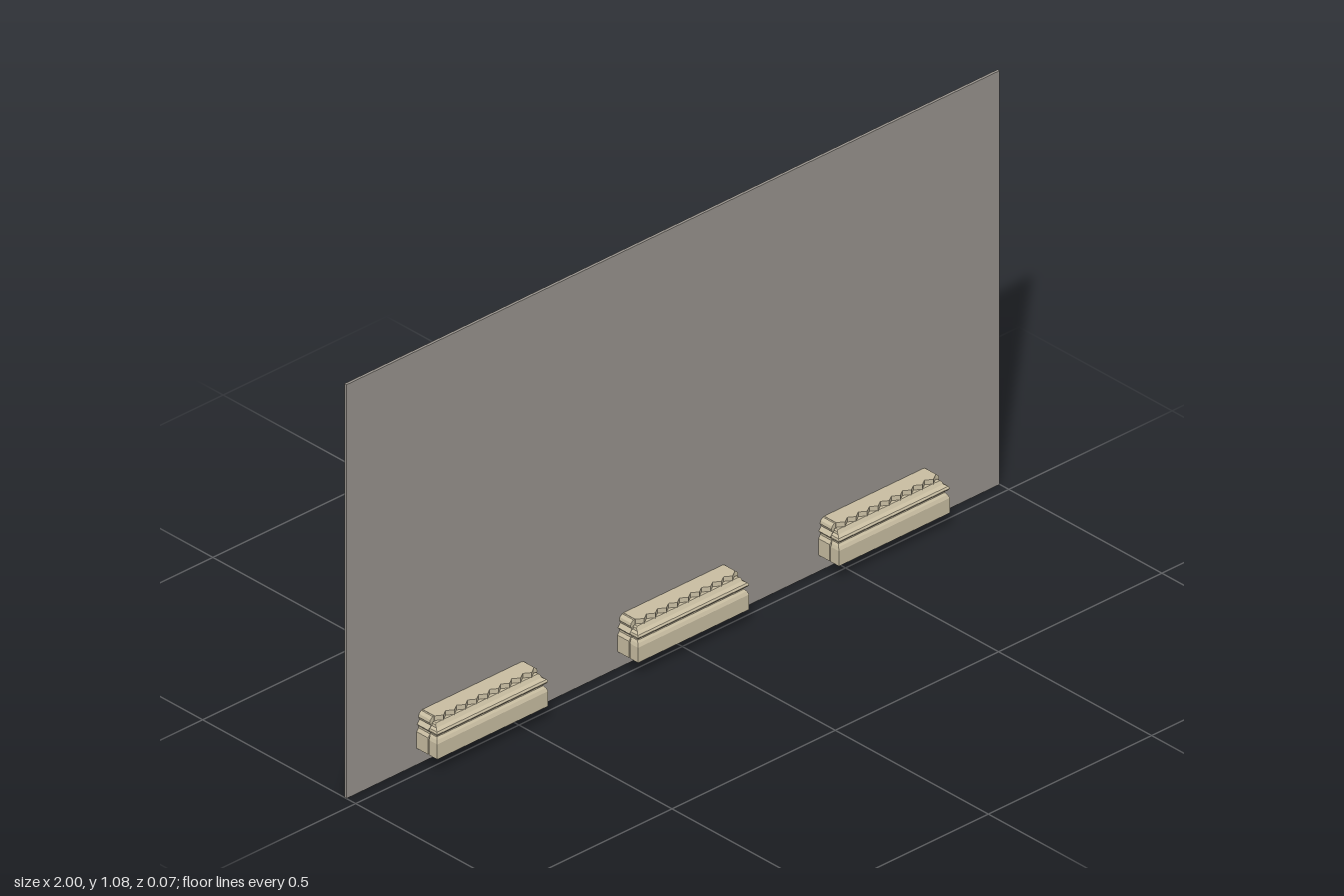
import * as THREE from 'three';

const wallMat = new THREE.MeshStandardMaterial({ color: 0x98938d });
wallMat.name = 'grey wall';
const stoneMat = new THREE.MeshStandardMaterial({ color: 0xc9bea2 });
stoneMat.name = 'pale stone';

// Stacks rectangles [half width, y, front z] with a shared back plane into a closed moulded block
function loft(levels, back) {
  const pos = [];
  const ring = ([w, y, z]) => [[-w, y, z], [w, y, z], [w, y, back], [-w, y, back]];
  const quad = (a, b, c, d) => pos.push(...a, ...b, ...c, ...a, ...c, ...d);
  const rings = levels.map(ring);
  for (let i = 0; i < rings.length - 1; i++) {
    const lo = rings[i], hi = rings[i + 1];
    for (let k = 0; k < 4; k++) {
      const n = (k + 1) % 4;
      quad(lo[k], lo[n], hi[n], hi[k]);
    }
  }
  const bottom = rings[0], top = rings[rings.length - 1];
  quad(bottom[3], bottom[2], bottom[1], bottom[0]);
  quad(top[0], top[1], top[2], top[3]);
  const g = new THREE.BufferGeometry();
  g.setAttribute('position', new THREE.Float32BufferAttribute(pos, 3));
  g.computeVertexNormals();
  return g;
}

// Top slab whose front edge is cut into triangular flutes
function flutedSlab(halfWidth, back, valley, peak, height, teeth) {
  const s = new THREE.Shape();
  s.moveTo(-halfWidth, -back);
  s.lineTo(-halfWidth, -valley);
  const step = (2 * halfWidth) / teeth;
  for (let i = 0; i < teeth; i++) {
    s.lineTo(-halfWidth + (i + 0.5) * step, -peak);
    s.lineTo(-halfWidth + (i + 1) * step, -valley);
  }
  s.lineTo(halfWidth, -back);
  const g = new THREE.ExtrudeGeometry(s, { depth: height, bevelEnabled: false });
  g.rotateX(-Math.PI / 2);
  return g;
}

function add(group, name, geometry, material) {
  const m = new THREE.Mesh(geometry, material);
  m.name = name;
  group.add(m);
  return m;
}

function makeBase() {
  const base = new THREE.Group();
  base.name = 'pilasterBase';
  const back = -0.03;

  // Front moulding: plinth, cove, rounded torus and neck
  add(base, 'frontMoulding', loft([
    [0.17, 0.043, 0.037], [0.17, 0.082, 0.037], [0.167, 0.09, 0.033],
    [0.163, 0.095, 0.028], [0.163, 0.099, 0.028], [0.168, 0.102, 0.034],
    [0.17, 0.107, 0.037], [0.168, 0.112, 0.034], [0.161, 0.116, 0.025],
    [0.16, 0.122, 0.021], [0.156, 0.125, 0.019],
  ], 0.01), stoneMat);

  // Rear return against the wall, split from the front by a narrow groove
  add(base, 'rearReturn', loft([
    [0.17, 0.043, 0.007], [0.17, 0.086, 0.007], [0.164, 0.094, 0.007],
    [0.164, 0.099, 0.007], [0.169, 0.105, 0.007], [0.161, 0.115, 0.007],
    [0.165, 0.123, 0.007], [0.163, 0.13, 0.007], [0.156, 0.136, 0.007],
  ], back), stoneMat);

  // Recessed core behind the groove
  add(base, 'core', loft([
    [0.165, 0.0435, 0.012], [0.165, 0.09, 0.012], [0.156, 0.098, 0.012], [0.152, 0.122, 0.012],
  ], back), stoneMat);

  // Fluted shaft stub
  add(base, 'flutedTop', flutedSlab(0.152, back, 0.009, 0.02, 0.017, 9), stoneMat).position.y = 0.12;
  return base;
}

export function createModel() {
  const model = new THREE.Group();
  model.name = 'wallWithBases';

  // Thin backing wall
  add(model, 'wall', new THREE.BoxGeometry(2, 1.077, 0.007), wallMat).position.set(0, 0.5385, -0.0335);

  // Three evenly spaced bases
  for (const x of [-0.615, 0, 0.615]) {
    const base = makeBase();
    base.position.x = x;
    model.add(base);
  }
  return model;
}
